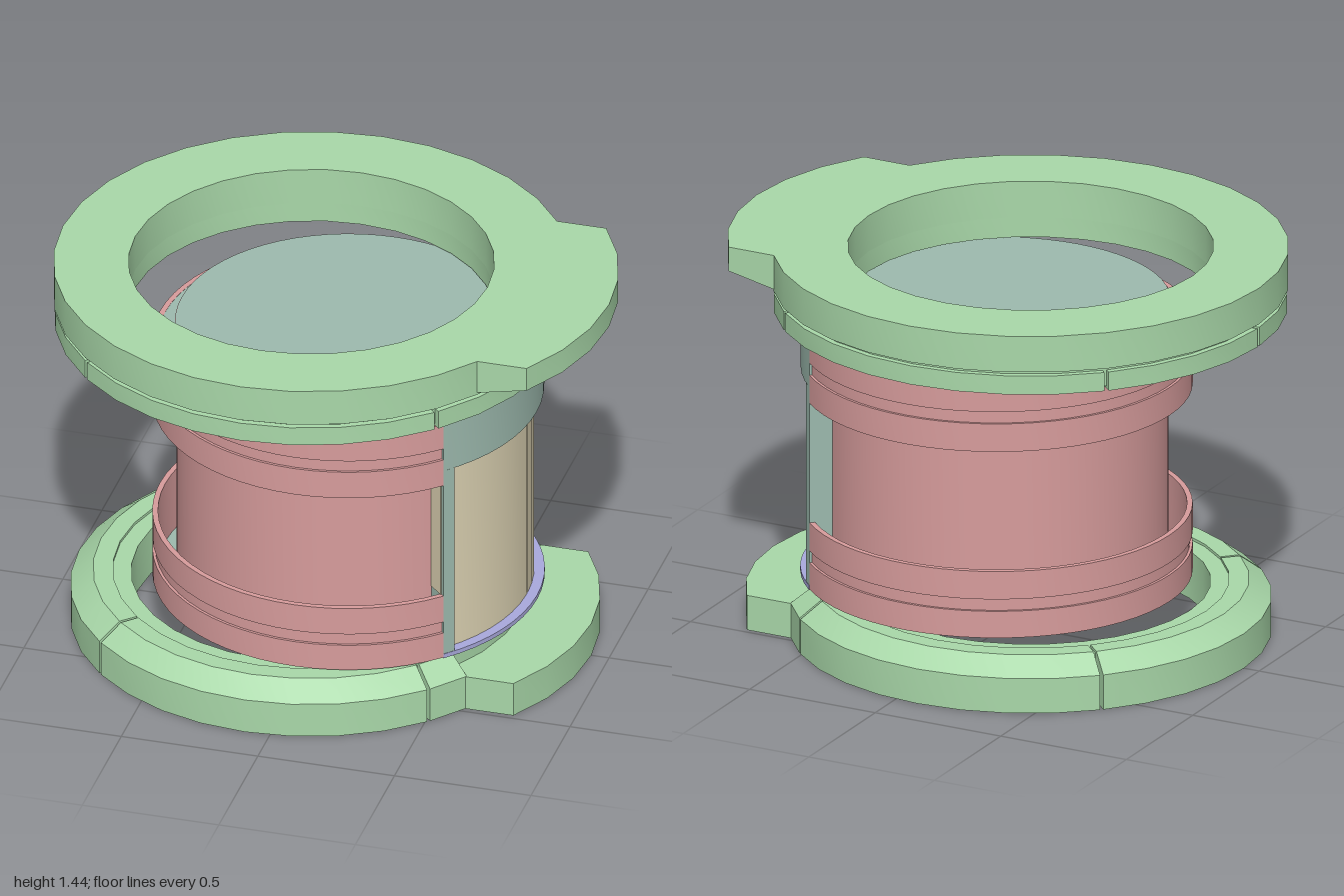
import * as THREE from 'three';
import { mergeGeometries, toCreasedNormals } from 'three/addons/utils/BufferGeometryUtils.js';

const RING_X = -0.09;   // centre of the two end rings
const CHAMBER_X = 0.045; // centre of the round chamber
const rad = THREE.MathUtils.degToRad;

const mat = (color) => new THREE.MeshStandardMaterial({ color });
const green = mat(0xa9d8a9), red = mat(0xd79c9c), teal = mat(0x9dbaae);
const beige = mat(0xddd3b3), lavender = mat(0xa9a9dc);

// Rectangular profile, counter-clockwise in (radius, height)
const rect = (r0, r1, y0, y1) => [[r0, y0], [r1, y0], [r1, y1], [r0, y1]];

// Closed profile swept from angle a0 to a1 (degrees, from +x towards +z), with end caps
function sweep(profile, a0 = 0, a1 = 360, fullSegments = 64) {
  const pts = profile.map(([r, y]) => new THREE.Vector2(r, y));
  const start = rad(90 - a1), length = rad(a1 - a0);
  const segs = Math.max(1, Math.round(fullSegments * (a1 - a0) / 360));
  const parts = [new THREE.LatheGeometry([...pts, pts[0].clone()], segs, start, length)];
  if (a1 - a0 < 360) {
    [start, start + length].forEach((phi, end) => {
      const cap = new THREE.ShapeGeometry(new THREE.Shape(pts));
      if (end) cap.setIndex(Array.from(cap.index.array).reverse());
      parts.push(cap.rotateY(phi - Math.PI / 2));
    });
  }
  parts.forEach((p) => { p.deleteAttribute('normal'); p.deleteAttribute('uv'); });
  return toCreasedNormals(mergeGeometries(parts), 0.5);
}

// Tab with the ring's own curve at its tip, pushed outwards by `shift`
function tab(r, halfWidth, shift, y0, y1, tipLift) {
  const shape = new THREE.Shape();
  const a = Math.asin(halfWidth / r), inner = r - 0.03;
  const b = Math.asin(halfWidth / inner), n = 6;
  for (let i = 0; i <= n; i++) {
    const t = a * (2 * i / n - 1);
    const p = [shift + r * Math.cos(t), r * Math.sin(t)];
    i ? shape.lineTo(...p) : shape.moveTo(...p);
  }
  for (let i = 0; i <= n; i++) {
    const t = b * (1 - 2 * i / n);
    shape.lineTo(inner * Math.cos(t), inner * Math.sin(t));
  }
  const geo = new THREE.ExtrudeGeometry(shape, { depth: y1 - y0, bevelEnabled: false });
  geo.rotateX(-Math.PI / 2).translate(0, y0, 0);
  // slope the underside up towards the tip
  const pos = geo.attributes.position;
  for (let i = 0; i < pos.count; i++) {
    const edge = Math.sqrt(r * r - pos.getZ(i) ** 2);
    if (pos.getY(i) < y0 + 0.001 && pos.getX(i) > edge + shift / 2) pos.setY(i, y0 + tipLift);
  }
  return toCreasedNormals(geo, 0.5);
}

export function createModel() {
  const model = new THREE.Group();
  const group = (name, x) => {
    const g = new THREE.Group();
    g.name = name;
    g.position.x = x;
    model.add(g);
    return g;
  };
  const add = (parent, name, geo, material) => {
    const m = new THREE.Mesh(geo, material);
    m.name = name;
    parent.add(m);
  };

  // Top ring: plate, tab and a segmented lip underneath
  const top = group('topRing', RING_X);
  add(top, 'topPlate', sweep(rect(0.645, 0.91, 1.305, 1.44), 0, 360, 32), green);
  add(top, 'topTab', tab(0.91, 0.51, 0.18, 1.305, 1.44, 0.045), green);
  add(top, 'topCore', sweep(rect(0.645, 0.885, 1.23, 1.305), 0, 360, 32), green);
  const topGaps = [-45, 0, 45, 135, 180, 225, 315];
  for (let i = 0; i < topGaps.length - 1; i++) {
    add(top, 'topLipSegment',
      sweep(rect(0.79, 0.907, 1.22, 1.29), topGaps[i] + 0.5, topGaps[i + 1] - 0.5, 32), green);
  }

  // Bottom ring: core, bevelled quarter segments and a tab where the bevel is cut away
  const bottom = group('bottomRing', RING_X);
  const bevelled = [[0.7, 0], [0.85, 0], [0.85, 0.13], [0.77, 0.19], [0.7, 0.19]];
  const stepped = [[0.7, 0], [0.85, 0], [0.85, 0.13], [0.77, 0.13], [0.77, 0.19], [0.7, 0.19]];
  add(bottom, 'bottomCore', sweep(rect(0.635, 0.76, 0, 0.18), 0, 360, 32), green);
  for (const a of [45, 135, 225]) {
    add(bottom, 'bottomSegment', sweep(bevelled, a + 0.4, a + 89.6, 32), green);
  }
  add(bottom, 'tabSegment', sweep(stepped, -34, 34, 32), green);
  for (const a of [-44.6, 34]) {
    add(bottom, 'tabShoulder', sweep(bevelled, a, a + 10.6, 32), green);
  }
  add(bottom, 'bottomTab', tab(0.85, 0.48, 0.175, 0, 0.13, 0), green);

  // Chamber wall, open on the doorway side
  const chamber = group('chamber', CHAMBER_X);
  add(chamber, 'wall', sweep(rect(0.59, 0.605, 0.2, 1.15), 45, 315), red);
  add(chamber, 'neck', sweep(rect(0.59, 0.61, 1.15, 1.22)), red);

  // Grooved collars standing off the wall, mirrored top and bottom
  const collar = [[0.67, 0.2], [0.69, 0.2], [0.69, 0.3], [0.68, 0.3], [0.68, 0.345],
    [0.69, 0.345], [0.69, 0.45], [0.67, 0.45]];
  const flipped = collar.map(([r, y]) => [r, 1.35 - y]).reverse();
  add(chamber, 'lowerCollar', sweep(collar, 45, 315), red);
  add(chamber, 'upperCollar', sweep(flipped, 45, 315), red);

  // Floor, shoulder and cap
  const floor = new THREE.CylinderGeometry(0.672, 0.672, 0.012, 64).translate(0, 0.207, 0);
  add(chamber, 'floor', floor, teal);
  const shoulder = new THREE.RingGeometry(0.6, 0.672, 64).rotateX(-Math.PI / 2).translate(0, 1.149, 0);
  add(chamber, 'shoulder', shoulder, teal);
  const cap = new THREE.CylinderGeometry(0.608, 0.608, 0.01, 64).translate(0, 1.216, 0);
  add(chamber, 'cap', cap, teal);

  // Doorway frame with a split curved door
  const door = group('doorway', CHAMBER_X);
  add(door, 'header', sweep(rect(0.6, 0.69, 0.96, 1.15), -45, 45), teal);
  for (const s of [-1, 1]) {
    const span = (a, b) => (s > 0 ? [a, b] : [-b, -a]);
    add(door, 'post', sweep(rect(0.6, 0.69, 0.2, 0.96), ...span(41.3, 45)), teal);
    add(door, 'doorPanel', sweep(rect(0.63, 0.655, 0.215, 0.955), ...span(0.4, 42.5)), beige);
  }
  add(door, 'doorBacking', sweep(rect(0.61, 0.63, 0.21, 0.96), -42, 42), teal);
  add(door, 'sidePanel', sweep(rect(0.606, 0.675, 0.45, 0.9), 45, 45.3), beige);
  add(door, 'sill', sweep(rect(0.6, 0.692, 0.198, 0.215), -45, 45), lavender);

  return model;
}
